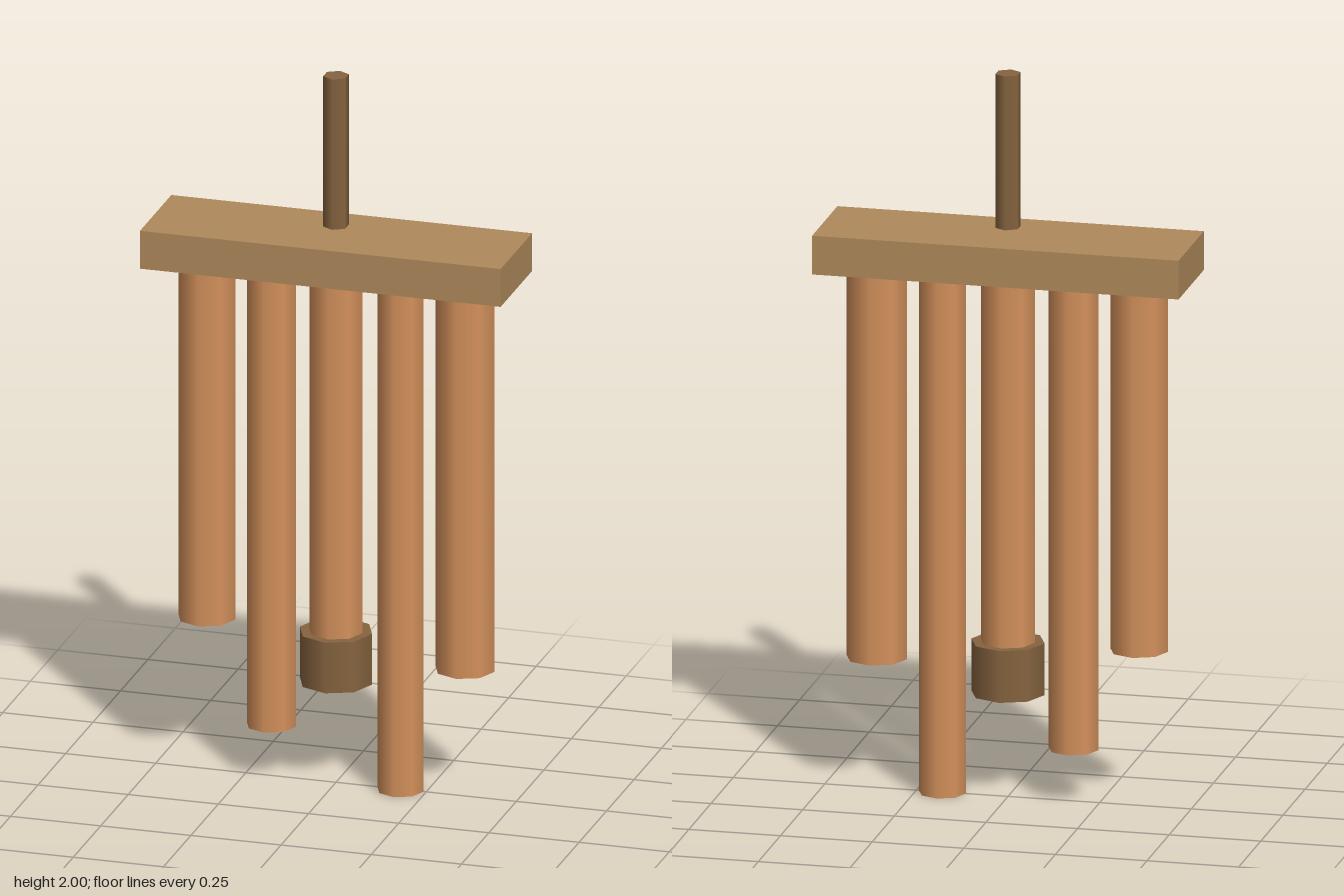
import * as THREE from 'three';

const mat = (color) => new THREE.MeshStandardMaterial({ color });

export function createModel() {
  const group = new THREE.Group();
  const wood = mat(0xb08a5c), darkWood = mat(0x86643f), copper = mat(0xd4915c);

  // Upright prism between two heights
  const rod = (name, x, radius, bottom, top, sides, material) => {
    const mesh = new THREE.Mesh(
      new THREE.CylinderGeometry(radius, radius, top - bottom, sides), material);
    mesh.position.set(x, (top + bottom) / 2, 0);
    mesh.name = name;
    group.add(mesh);
  };

  // Hanging stem and top bar
  rod('hangingStem', 0, 0.035, 1.575, 2, 6, darkWood);
  const bar = new THREE.Mesh(new THREE.BoxGeometry(1, 0.107, 0.286), wood);
  bar.position.y = 1.503;
  bar.name = 'topBar';
  group.add(bar);

  // Five chime tubes: radius and lower end
  const tubes = [[0.079, 0.43], [0.068, 0.145], [0.074, 0.29], [0.064, 0], [0.082, 0.36]];
  tubes.forEach(([radius, bottom], i) =>
    rod(`chimeTube${i + 1}`, (i - 2) * 0.179, radius, bottom, 1.43, 8, copper));

  // Clapper around the middle tube
  rod('clapper', 0, 0.1, 0.287, 0.43, 8, darkWood);

  return group;
}
